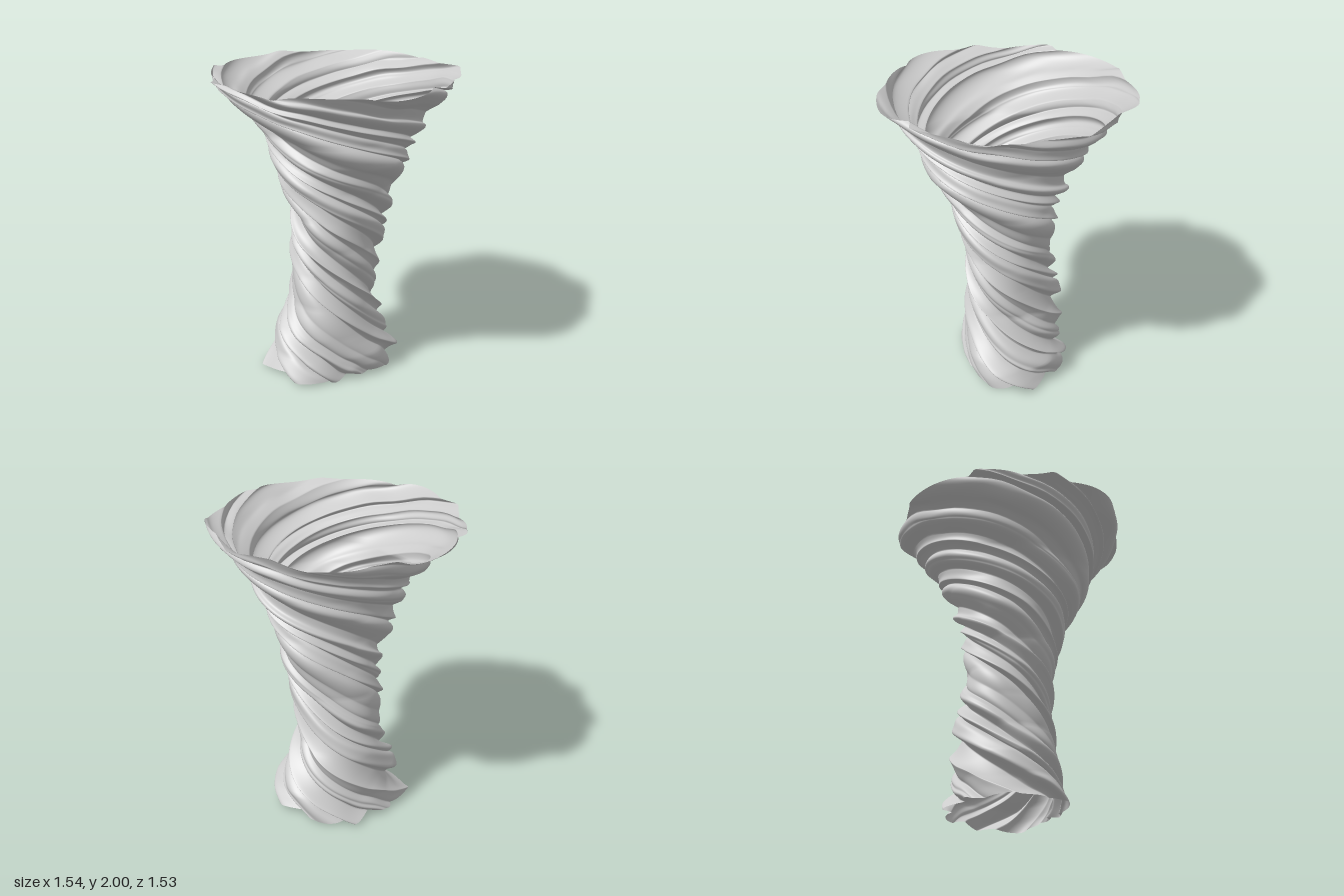
import * as THREE from 'three';

const AROUND = 320, RINGS = 120;

// Outer radius toward +x, +z, -x, -z at a few heights
const PROFILE = [
  [0.00, 0.42, 0.29, 0.49, 0.41],
  [0.06, 0.43, 0.31, 0.45, 0.40],
  [0.15, 0.43, 0.31, 0.41, 0.385],
  [0.30, 0.36, 0.29, 0.40, 0.375],
  [0.50, 0.275, 0.28, 0.30, 0.37],
  [0.70, 0.295, 0.27, 0.28, 0.345],
  [0.90, 0.325, 0.28, 0.295, 0.295],
  [1.10, 0.375, 0.335, 0.275, 0.30],
  [1.30, 0.405, 0.385, 0.36, 0.33],
  [1.50, 0.48, 0.51, 0.415, 0.40],
  [1.65, 0.535, 0.545, 0.455, 0.485],
  [1.80, 0.63, 0.62, 0.59, 0.585],
  [1.90, 0.69, 0.69, 0.68, 0.67],
  [2.00, 0.77, 0.77, 0.77, 0.77],
];

function radiiAt(y) {
  let i = 0;
  while (i < PROFILE.length - 2 && y > PROFILE[i + 1][0]) i++;
  const a = PROFILE[i], b = PROFILE[i + 1];
  const t = THREE.MathUtils.clamp((y - a[0]) / (b[0] - a[0]), 0, 1);
  return [1, 2, 3, 4].map(k => THREE.MathUtils.lerp(a[k], b[k], t));
}

// Depth of the pleats below the outer radius, 0 (crest) to 1 (valley)
function pleat(p, y) {
  const wander = p + 0.13 * Math.sin(2 * p + 1.2 * y) + 0.08 * Math.sin(3 * p + 1 - 0.8 * y);
  const valley = 1 - Math.abs(Math.sin(4.5 * wander));
  const fine = 0.5 + 0.5 * Math.sin(13 * wander + 1.2 + y);
  const slow = 0.5 + 0.5 * Math.sin(5 * p + 2 + 0.8 * y);
  return 0.57 * Math.pow(valley, 1.3) + 0.17 * fine + 0.26 * slow;
}

function twistedCloth() {
  const pos = [], index = [];
  for (let j = 0; j <= RINGS; j++) {
    const v = j / RINGS;
    const y = 2 * v;
    const [px, pz, nx, nz] = radiiAt(y);
    // The pleats wind faster toward the top; the mesh columns follow them
    const twist = 4.1 * y + 0.5 * y * y;
    // Pleats are deepest at the waist and flatten toward the rim
    const amount = 0.25 - 0.15 * THREE.MathUtils.smoothstep(v, 0.55, 1);
    for (let i = 0; i < AROUND; i++) {
      const p = (i / AROUND) * Math.PI * 2;
      const a = p - twist;
      // Pleats lean over sideways
      const ang = a + 0.065 * Math.sin(9 * p + 0.6) + 0.03 * Math.sin(5 * p);
      const s = Math.sin(ang), c = Math.cos(ang);
      const base = (s > 0 ? px : nx) * s * s + (c > 0 ? pz : nz) * c * c;
      const r = base * (1.025 - amount * pleat(p, y));
      // Ragged hems at the foot and the rim
      const foot = (0.018 + 0.012 * Math.sin(4 * a) + 0.006 * Math.sin(9 * a + 1)) * Math.max(0, 1 - v * 8);
      const rim = (0.014 + 0.009 * Math.sin(7 * a + 1) + 0.005 * Math.sin(13 * a)) * Math.max(0, v * 8 - 7);
      pos.push(r * s, y + foot - rim, r * c);
    }
  }
  for (let j = 0; j < RINGS; j++) {
    for (let i = 0; i < AROUND; i++) {
      const n = (i + 1) % AROUND;
      const a = j * AROUND + i, b = j * AROUND + n;
      index.push(a, b, b + AROUND, a, b + AROUND, a + AROUND);
    }
  }
  const g = new THREE.BufferGeometry();
  g.setAttribute('position', new THREE.Float32BufferAttribute(pos, 3));
  g.setIndex(index);
  g.computeVertexNormals();
  return g;
}

export function createModel() {
  const group = new THREE.Group();
  group.name = 'twistedFunnel';
  const material = new THREE.MeshStandardMaterial({ color: 0xcccccc, side: THREE.DoubleSide });
  // Open, pleated funnel
  const cloth = new THREE.Mesh(twistedCloth(), material);
  cloth.name = 'pleatedFunnel';
  group.add(cloth);
  return group;
}
